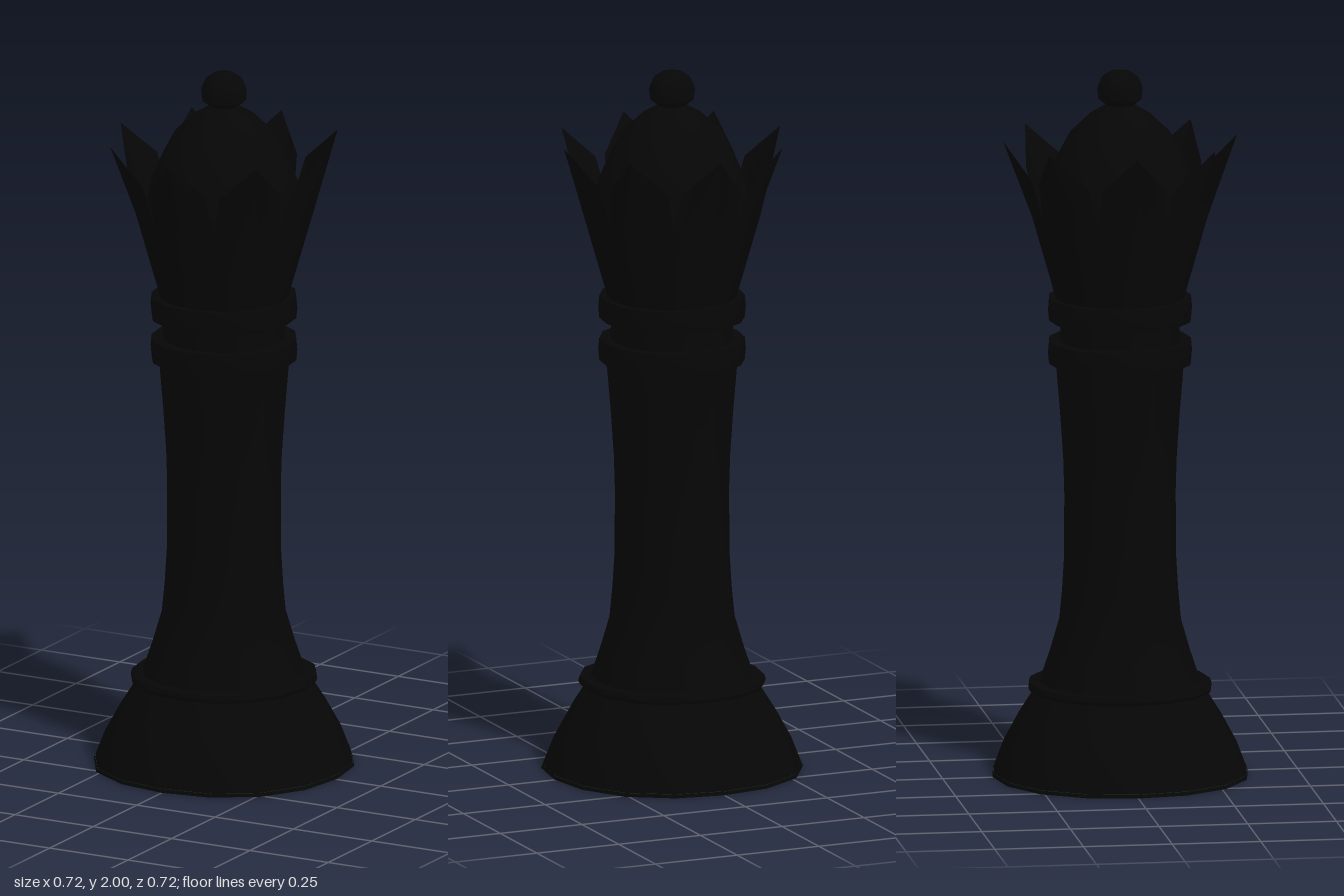
import * as THREE from 'three';
import { toCreasedNormals } from 'three/addons/utils/BufferGeometryUtils.js';

export function createModel() {
  const group = new THREE.Group();
  const black = new THREE.MeshStandardMaterial({ color: 0x060606, side: THREE.DoubleSide });
  black.name = 'black lacquer';
  const green = new THREE.MeshStandardMaterial({ color: 0x204a26, side: THREE.DoubleSide });
  green.name = 'green felt';

  function add(name, geometry, material = black) {
    const mesh = new THREE.Mesh(geometry, material);
    mesh.name = name;
    group.add(mesh);
  }

  // Turned part from [radius, height] pairs, listed bottom to top;
  // swell widens it slightly on the diagonals
  function turned(name, profile, { sides = 16, swell = 0.03, material = black, crease = 0.65 } = {}) {
    const points = profile.map(([r, y]) => new THREE.Vector2(r, y));
    const geometry = new THREE.LatheGeometry(points, sides);
    const position = geometry.attributes.position;
    for (let i = 0; i < position.count; i++) {
      const x = position.getX(i), z = position.getZ(i);
      const scale = 1 + swell * Math.sin(2 * Math.atan2(x, z)) ** 2;
      position.setX(i, x * scale);
      position.setZ(i, z * scale);
    }
    add(name, toCreasedNormals(geometry, crease), material);
  }

  // Felt pad under the foot, softly rounded at the rim
  turned('feltPad', [[0, 0], [0.315, 0], [0.35, 0.001], [0.357, 0.012]],
    { material: green, crease: 1.6 });

  // Flared foot, lip and column
  turned('foot', [[0.36, 0.001], [0.328, 0.085], [0.285, 0.165], [0.235, 0.245]]);
  turned('footLip', [[0.22, 0.242], [0.254, 0.242], [0.258, 0.252], [0.254, 0.265], [0.215, 0.267]]);
  turned('column', [[0.228, 0.255], [0.198, 0.345], [0.172, 0.435], [0.164, 0.52], [0.158, 0.62],
    [0.157, 0.8], [0.16, 0.9], [0.168, 1.02], [0.181, 1.18]]);

  // Neck with two collars
  turned('neck', [[0.172, 1.17], [0.168, 1.27], [0.178, 1.37]]);
  for (const [name, y] of [['lowerCollar', 1.173], ['upperCollar', 1.295]]) {
    turned(name, [[0.16, y], [0.2, y], [0.203, y + 0.031], [0.2, y + 0.063], [0.16, y + 0.063]]);
  }

  // Crown: eight pointed petals, built from columns of [radius, height] around the axis
  const petals = 8;
  const step = (Math.PI * 2) / petals;
  const foot = [0.18, 1.355], middle = [0.227, 1.52], bend = [0.247, 1.59], inside = [0.2, 1.49];
  const shoulder = [0.276, 1.712];
  const petalColumns = [
    { turn: -0.5, rim: [0.249, 1.6] },
    { turn: -0.41, rim: shoulder },
    { turn: 0, rim: [0.33, 1.81] },
    { turn: 0.41, rim: shoulder },
  ];
  const positions = [], indices = [];
  for (let p = 0; p < petals; p++) {
    for (const { turn, rim } of petalColumns) {
      const angle = (p + turn) * step;
      for (const [r, y] of [foot, middle, bend, rim, inside]) {
        positions.push(r * Math.sin(angle), y, r * Math.cos(angle));
      }
    }
  }
  const columns = petals * petalColumns.length, rows = 5;
  for (let c = 0; c < columns; c++) {
    for (let k = 0; k < rows - 1; k++) {
      const a = c * rows + k, b = ((c + 1) % columns) * rows + k;
      indices.push(a, b, b + 1, a, b + 1, a + 1);
    }
  }
  const crown = new THREE.BufferGeometry();
  crown.setAttribute('position', new THREE.Float32BufferAttribute(positions, 3));
  crown.setIndex(indices);
  add('crownPetals', toCreasedNormals(crown, 0.6));

  // Domed cap inside the crown
  turned('dome', [[0.195, 1.46], [0.212, 1.55], [0.217, 1.62], [0.205, 1.69], [0.176, 1.757],
    [0.14, 1.825], [0.085, 1.878], [0.033, 1.908], [0, 1.912]], { sides: 24, swell: 0 });

  // Finial ball
  turned('finial', [[0.03, 1.898], [0.061, 1.922], [0.064, 1.952],
    [0.052, 1.982], [0.03, 1.998], [0, 2]], { swell: 0 });

  return group;
}
